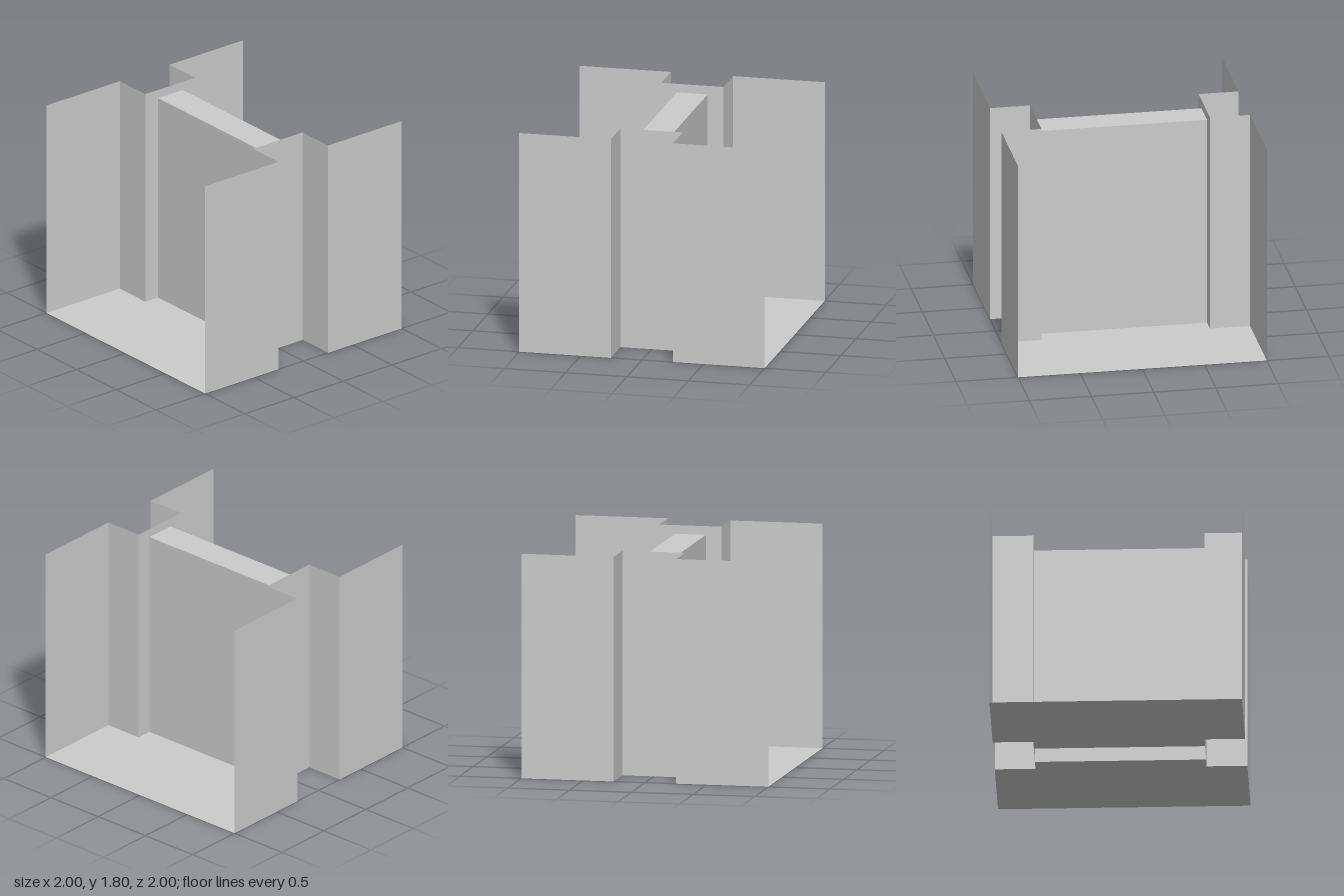
import * as THREE from 'three';

const H = 1.8, TOP = 1.73;      // wall height, partition height
const NX = 0.253, NZ = 0.678;   // notch half width, recessed wall depth
const PX = 0.125;               // partition half width

const material = new THREE.MeshStandardMaterial({
  color: 0xcccccc, flatShading: true, side: THREE.DoubleSide,
});

// Folded thin sheet: an open path of [x, y, z] points swept along one direction.
function foldedSheet(name, path, sweep) {
  const pos = [];
  for (let i = 0; i < path.length - 1; i++) {
    const a = path[i], b = path[i + 1];
    const c = b.map((v, k) => v + sweep[k]);
    const d = a.map((v, k) => v + sweep[k]);
    pos.push(...a, ...b, ...c, ...a, ...c, ...d);
  }
  const geo = new THREE.BufferGeometry();
  geo.setAttribute('position', new THREE.Float32BufferAttribute(pos, 3));
  geo.computeVertexNormals();
  const mesh = new THREE.Mesh(geo, material);
  mesh.name = name;
  return mesh;
}

// Floor panel on one side, notched at both ends around the recess.
function floorPanel(name, side) {
  const outline = [[PX, -NZ], [NX, -NZ], [NX, -1], [1, -1], [1, 1], [NX, 1], [NX, NZ], [PX, NZ]];
  const shape = new THREE.Shape(outline.map(([x, z]) => new THREE.Vector2(side * x, -z)));
  const mesh = new THREE.Mesh(new THREE.ShapeGeometry(shape).rotateX(-Math.PI / 2), material);
  mesh.name = name;
  return mesh;
}

export function createModel() {
  const model = new THREE.Group();
  model.name = 'partitionedTray';

  // Front and back walls, each stepping inward at the middle
  for (const [name, s] of [['frontWall', 1], ['backWall', -1]]) {
    const path = [[-1, 1], [-NX, 1], [-NX, NZ], [NX, NZ], [NX, 1], [1, 1]]
      .map(([x, z]) => [s * x, 0, s * z]);
    model.add(foldedSheet(name, path, [0, H, 0]));
  }

  // Hollow central partition, open underneath
  model.add(foldedSheet('centralPartition',
    [[PX, 0, -NZ], [PX, TOP, -NZ], [-PX, TOP, -NZ], [-PX, 0, -NZ]], [0, 0, 2 * NZ]));

  // Floors either side of the partition
  model.add(floorPanel('leftFloor', 1), floorPanel('rightFloor', -1));
  return model;
}
